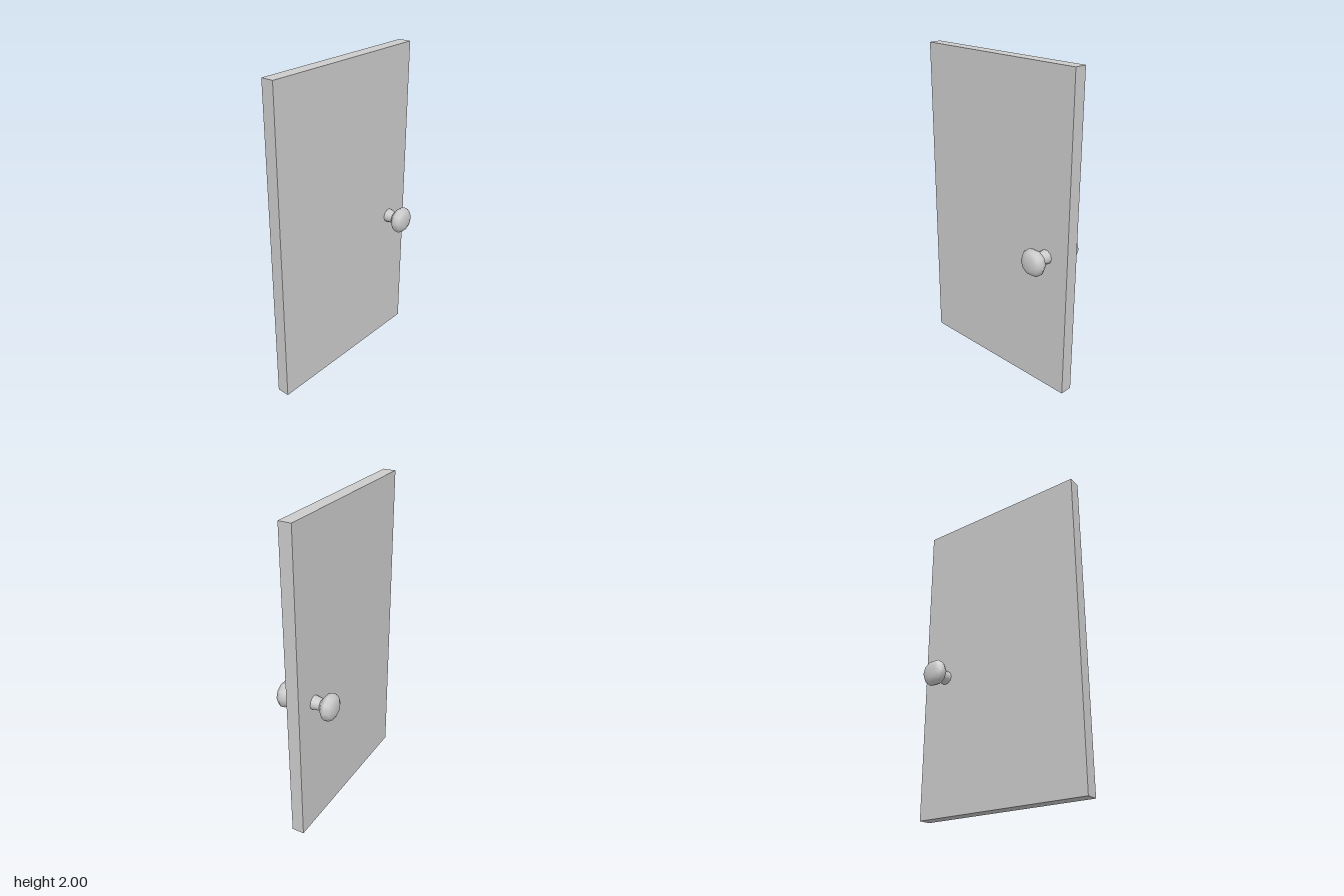
import * as THREE from 'three';

const material = new THREE.MeshStandardMaterial({ color: 0xcccccc });
const SIDES = 10;

// Turned part: [radius, distance from the door's middle], axis along +x
function turned(name, profile) {
  const points = profile.map(([r, d]) => new THREE.Vector2(r, d));
  const geometry = new THREE.LatheGeometry(points, SIDES).rotateZ(-Math.PI / 2);
  const mesh = new THREE.Mesh(geometry, material);
  mesh.name = name;
  return mesh;
}

// Knob with a tapered neck, pointing along +x
function createHandle(name) {
  const handle = new THREE.Group();
  handle.name = name;
  handle.add(
    turned('neck', [[0.046, 0.035], [0.038, 0.094]]),
    turned('knob', [
      [0.038, 0.094], [0.075, 0.122], [0.087, 0.149],
      [0.071, 0.174], [0.04, 0.189], [0, 0.189],
    ]),
  );
  handle.position.set(0, 0.883, -0.411);
  return handle;
}

export function createModel() {
  const door = new THREE.Group();
  door.name = 'door';

  // Plain slab
  const panel = new THREE.Mesh(new THREE.BoxGeometry(0.08, 2, 1.15), material);
  panel.name = 'panel';
  panel.position.y = 1;
  door.add(panel);

  // One handle on each face
  const leftHandle = createHandle('leftHandle');
  const rightHandle = createHandle('rightHandle');
  rightHandle.rotation.y = Math.PI;
  door.add(leftHandle, rightHandle);

  return door;
}
